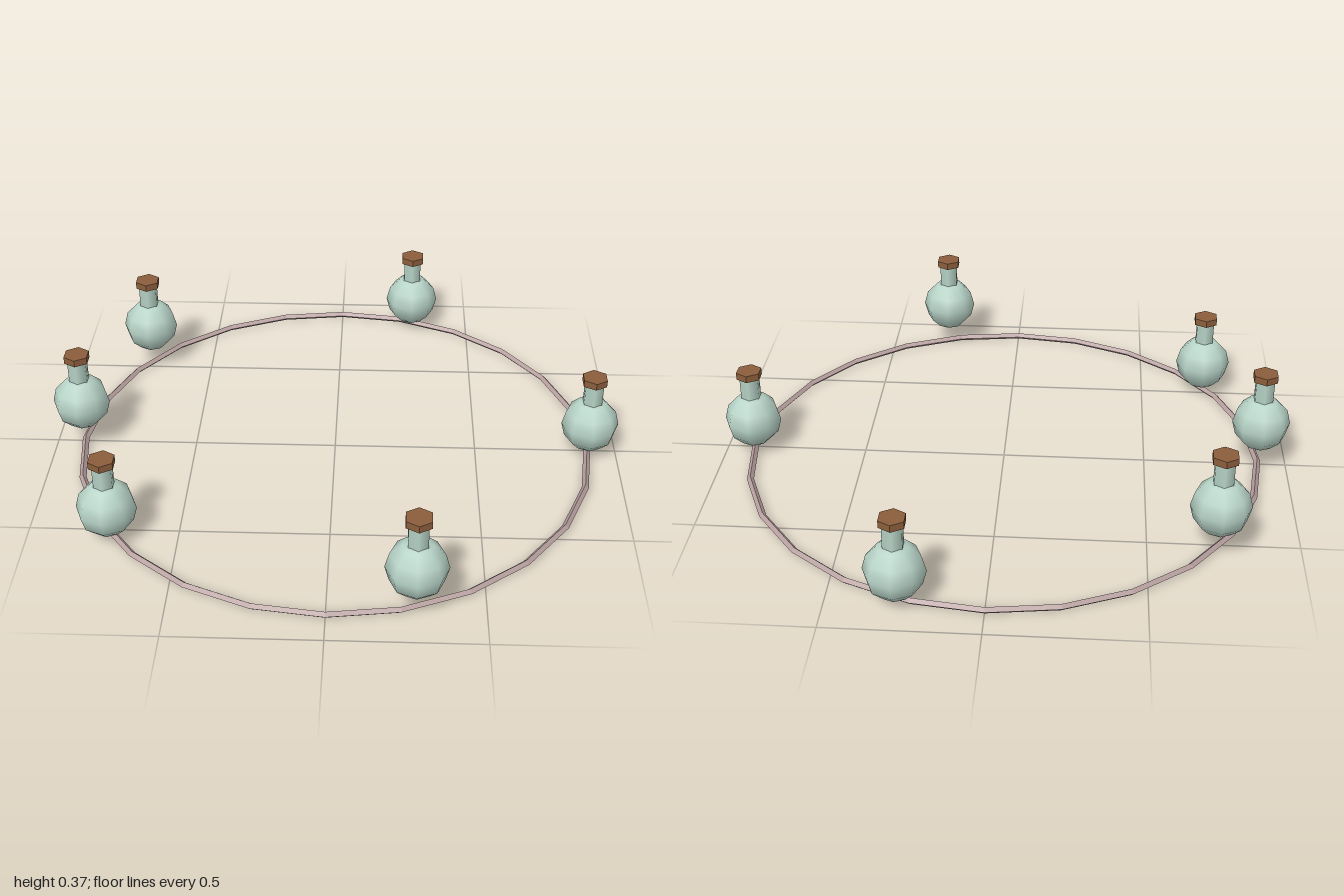
import * as THREE from 'three';

export function createModel() {
  const model = new THREE.Group();
  const glass = new THREE.MeshStandardMaterial({ name: 'pale green glass', color: 0xb8d4c8 });
  const cork = new THREE.MeshStandardMaterial({ name: 'brown cork', color: 0x8b5e3c, flatShading: true });
  const rose = new THREE.MeshStandardMaterial({ name: 'dusty rose', color: 0xb8a0a0, flatShading: true });

  const add = (parent, name, geometry, material, y) => {
    const mesh = new THREE.Mesh(geometry, material);
    mesh.name = name;
    mesh.position.y = y;
    parent.add(mesh);
  };

  // thin ring lying on the ground
  add(model, 'ring', new THREE.TorusGeometry(0.9, 0.012, 4, 24).rotateX(-Math.PI / 2), rose, 0.012);

  // shared bottle parts, measured from the centre of the round body
  const bodyGeometry = new THREE.SphereGeometry(0.1, 8, 6);
  const neckGeometry = new THREE.CylinderGeometry(0.036, 0.036, 0.1, 6);
  const corkGeometry = new THREE.CylinderGeometry(0.046, 0.046, 0.025, 6);

  // bottles around the ring: angle in degrees towards +z, height of body centre
  const low = 0.12, high = 0.175;
  const places = [[0, low], [72, high], [144, low], [180, high], [216, high], [288, low]];
  for (const [degrees, height] of places) {
    const angle = THREE.MathUtils.degToRad(degrees);
    const bottle = new THREE.Group();
    bottle.name = 'bottle';
    bottle.position.set(0.9 * Math.cos(angle), height, 0.9 * Math.sin(angle));
    add(bottle, 'body', bodyGeometry, glass, 0);
    add(bottle, 'neck', neckGeometry, glass, 0.12);
    add(bottle, 'stopper', corkGeometry, cork, 0.1815);
    model.add(bottle);
  }
  return model;
}
